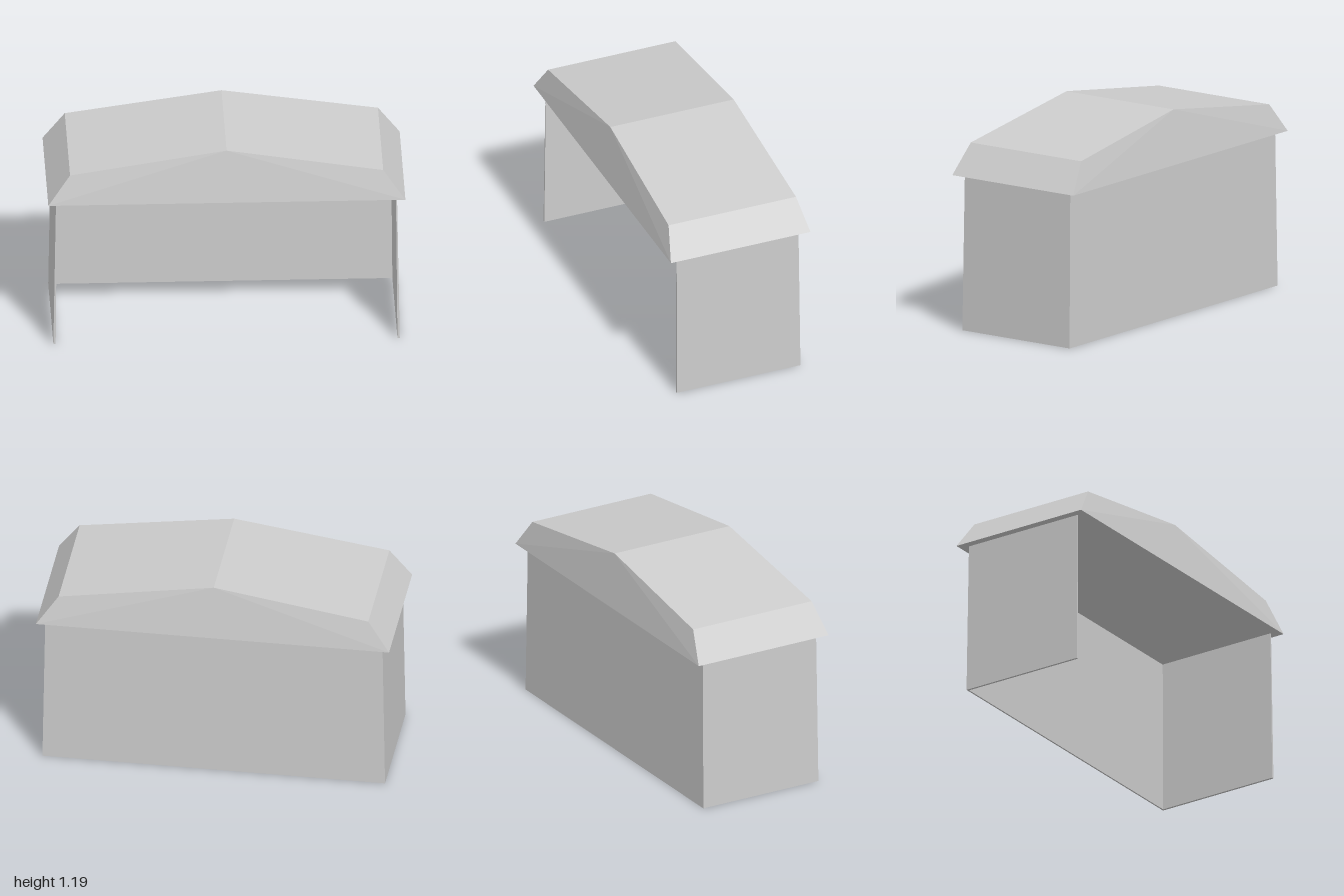
import * as THREE from 'three';

const EAVE_Y = 0.89;

// Box with separate bottom and top rectangles, each [x0, x1, z0, z1]
function taperedPanel(bottom, top, height) {
  const geo = new THREE.BoxGeometry(1, 1, 1);
  const p = geo.attributes.position;
  for (let i = 0; i < p.count; i++) {
    const up = p.getY(i) > 0;
    const r = up ? top : bottom;
    p.setXYZ(i, p.getX(i) < 0 ? r[0] : r[1], up ? height : 0, p.getZ(i) < 0 ? r[2] : r[3]);
  }
  geo.computeVertexNormals();
  return geo;
}

// Flat-faced solid from polygons, each split as a fan from its first corner
function facetedSolid(polygons) {
  const pos = [];
  for (const f of polygons)
    for (let i = 1; i < f.length - 1; i++) pos.push(...f[0], ...f[i], ...f[i + 1]);
  const geo = new THREE.BufferGeometry();
  geo.setAttribute('position', new THREE.Float32BufferAttribute(pos, 3));
  geo.computeVertexNormals();
  return geo;
}

export function createModel() {
  const group = new THREE.Group();
  const grey = new THREE.MeshStandardMaterial({ color: 0xcccccc, flatShading: true });
  grey.name = 'lightGrey';
  const add = (name, geo) => {
    const mesh = new THREE.Mesh(geo, grey);
    mesh.name = name;
    group.add(mesh);
  };

  // Side walls, thicker at the foot
  add('leftWall', taperedPanel([0.957, 0.97, -0.375, 0.375], [0.949, 0.955, -0.369, 0.369], EAVE_Y));
  add('rightWall', taperedPanel([-0.97, -0.957, -0.375, 0.375], [-0.955, -0.949, -0.369, 0.369], EAVE_Y));

  // Back wall; the front stays open
  add('backWall', taperedPanel([-0.957, 0.957, -0.375, -0.366], [-0.949, 0.949, -0.369, -0.363], EAVE_Y));

  // Roof: eaves, shoulders and a ridge running front to back
  const e = (sx, sz) => [sx, EAVE_Y, sz * 0.423];
  const s = (sx, sz) => [sx * 0.877, 1.06, sz * 0.386];
  const r = (sz) => [0, 1.193, sz * 0.374];
  add('roof', facetedSolid([
    [r(1), s(-1, 1), e(-1, 1), e(1, 1), s(1, 1)],       // front slope
    [r(-1), s(1, -1), e(1, -1), e(-1, -1), s(-1, -1)],  // back slope
    [e(1, 1), e(1, -1), s(1, -1), s(1, 1)],             // left end
    [e(-1, -1), e(-1, 1), s(-1, 1), s(-1, -1)],         // right end
    [r(1), s(1, 1), s(1, -1), r(-1)],                   // left top
    [s(-1, 1), r(1), r(-1), s(-1, -1)],                 // right top
    [e(-1, -1), e(1, -1), e(1, 1), e(-1, 1)],           // underside
  ]));

  return group;
}
